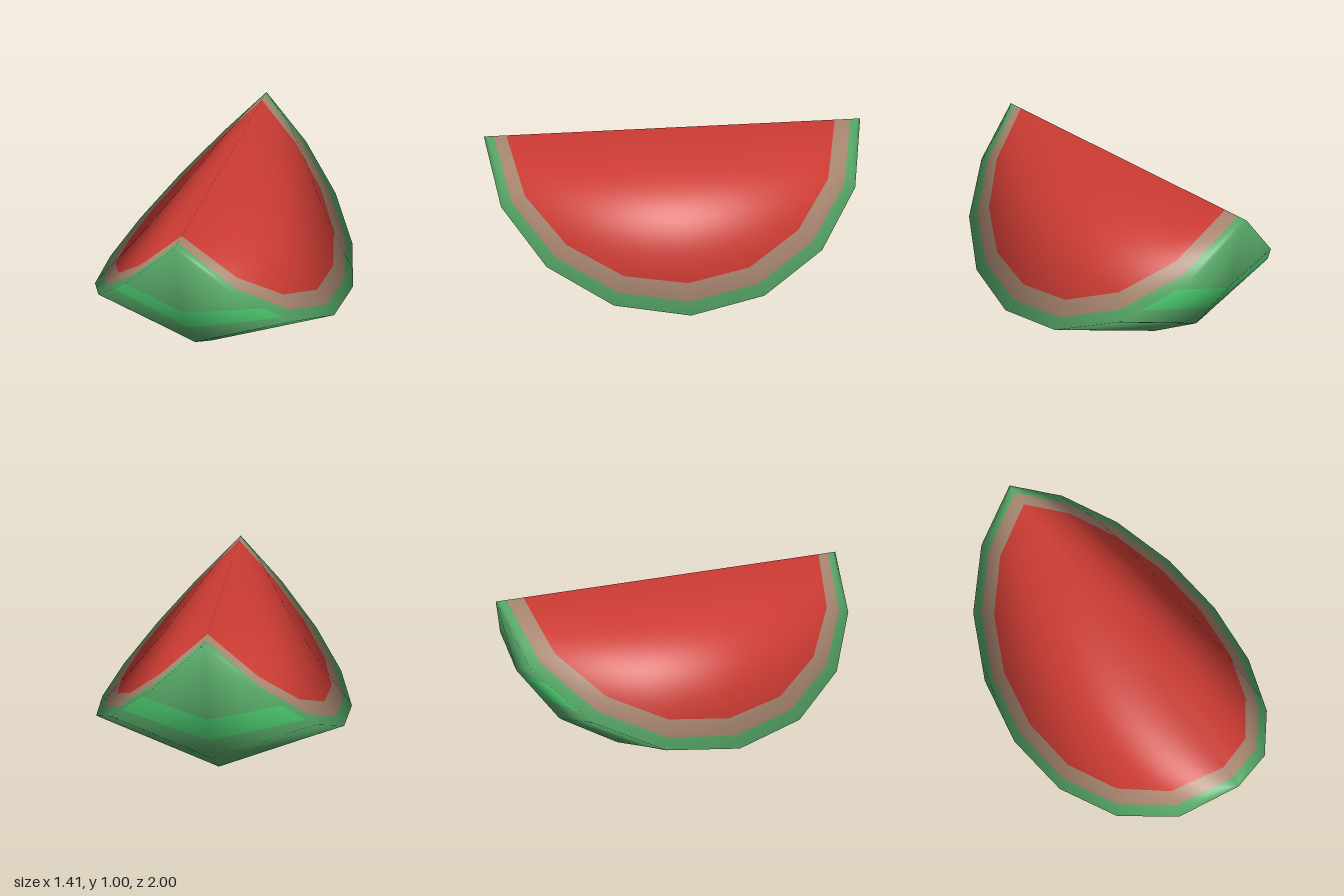
import * as THREE from 'three';

const SEG = 8; // facets from the front tip to the back tip
const mat = (name, color) => {
  const m = new THREE.MeshStandardMaterial({ color, side: THREE.FrontSide });
  m.name = name;
  return m;
};
const lerp = THREE.MathUtils.lerp;
const vec = (x, y, z) => new THREE.Vector3(x, y, z);

// Piecewise linear lookup, p running from 0 to 1 over the list
function sample(list, p) {
  const f = p * (list.length - 1);
  const i = Math.min(Math.floor(f), list.length - 2);
  return lerp(list[i], list[i + 1], f - i);
}

// Corner of the faceted rind: meridian j = -1, 0, 1 and ring k = 0..8
function corner(j, k) {
  const a = (j * Math.PI) / 4, b = (k * Math.PI) / SEG;
  const r = Math.sin(b);
  return vec(Math.sin(a) * r, 1 - Math.cos(a) * r, Math.cos(b));
}

// Soft normal at that corner, blended with the cut along the two rims
function cornerNormal(j, k) {
  if (k === 0 || k === SEG) return vec(0, 0.25, k ? -1 : 1).normalize();
  const a = (j * Math.PI) / 8, b = (k * Math.PI) / SEG;
  const n = vec(Math.sin(a) * Math.sin(b), -Math.cos(a) * Math.sin(b), Math.cos(b));
  return n.add(vec(j * Math.SQRT1_2, Math.abs(j) * Math.SQRT1_2, 0)).normalize();
}

// Blend of corner values at u = -1..1 across and v = 0..8 along
function onRind(fn, u, v) {
  const j = u < 0 ? -1 : 0, k = Math.min(Math.floor(v), SEG - 1);
  const near = fn(j, k).lerp(fn(j + 1, k), u - j);
  const far = fn(j, k + 1).lerp(fn(j + 1, k + 1), u - j);
  return near.lerp(far, v - k);
}

// Rim position v for a given z
function vAtZ(z) {
  for (let k = 0; k < SEG; k++) {
    const a = Math.cos((k * Math.PI) / SEG), b = Math.cos(((k + 1) * Math.PI) / SEG);
    if (z >= b) return k + THREE.MathUtils.clamp((a - z) / (a - b), 0, 1);
  }
  return SEG;
}

// Grid surface; fn(s, t) returns [position, normal]
function sheet(name, material, nu, nv, flip, fn) {
  const pos = [], nor = [], idx = [];
  for (let i = 0; i <= nu; i++) {
    for (let j = 0; j <= nv; j++) {
      const [p, n] = fn(i / nu, j / nv);
      pos.push(p.x, p.y, p.z);
      n.normalize();
      nor.push(n.x, n.y, n.z);
      if (i === nu || j === nv) continue;
      const a = i * (nv + 1) + j, b = a + nv + 1;
      if (flip) idx.push(a, a + 1, b, b, a + 1, b + 1);
      else idx.push(a, b, a + 1, b, b + 1, a + 1);
    }
  }
  const g = new THREE.BufferGeometry();
  g.setAttribute('position', new THREE.Float32BufferAttribute(pos, 3));
  g.setAttribute('normal', new THREE.Float32BufferAttribute(nor, 3));
  g.setIndex(idx);
  const mesh = new THREE.Mesh(g, material);
  mesh.name = name;
  return mesh;
}

export function createModel() {
  const group = new THREE.Group();
  group.name = 'melonWedge';
  const flesh = mat('red flesh', 0xcb3b33);
  const pith = mat('pale pith', 0xa98771);
  const green = mat('rind green', 0x57a868);
  const stripe = mat('stripe green', 0x49c46c);

  // Rind: alternating green and stripe bands, each edge given at left rim, keel and right rim
  const edges = [
    [0, 0, 0],
    [1, 1, 1.4], [1.43, 1.5, 1.8],
    [2.66, 2.64, 2.52], [2.98, 3.15, 3],
    [4.6, 4.4, 4.52], [5.0, 4.95, 4.95],
    [6.2, 6.45, 6.3], [6.7, 6.95, 6.85],
    [8, 8, 8],
  ];
  for (let b = 0; b < edges.length - 1; b++) {
    const light = b % 2 === 1;
    group.add(sheet(light ? 'rindStripe' : 'rind', light ? stripe : green, 16, 32, true, (s, t) => {
      const u = s * 2 - 1;
      const v = lerp(sample(edges[b], s), sample(edges[b + 1], s), t);
      return [onRind(corner, u, v), onRind(cornerNormal, u, v)];
    }));
  }

  // Cut faces: flesh, pith and rind edge as rings around the middle of the ridge
  const rings = [
    [0, 0, 0, 0, 0],
    [0.885, 0.85, 0.835, 0.84, 0.86],
    [0.95, 0.935, 0.93, 0.935, 0.945],
    [1, 1, 1, 1, 1],
  ];
  const layers = [['flesh', flesh, 16], ['pith', pith, 3], ['rindEdge', green, 3]];
  const centre = vec(0, 1, 0);
  for (const side of [-1, 1]) {
    layers.forEach(([name, material, steps], r) => {
      group.add(sheet(name, material, steps, 64, side < 0, (s, t) => {
        const f = lerp(sample(rings[r], t), sample(rings[r + 1], t), s);
        const p = centre.clone().lerp(onRind(corner, side, t * SEG), f);
        const v = vAtZ(p.z);
        const depth = 1 - onRind(corner, side, v).y;
        const w = depth > 1e-4 ? Math.min((1 - p.y) / depth, 1) : 1;
        return [p, vec(0, 1, 0).lerp(onRind(cornerNormal, side, v), w)];
      }));
    });
  }
  return group;
}
